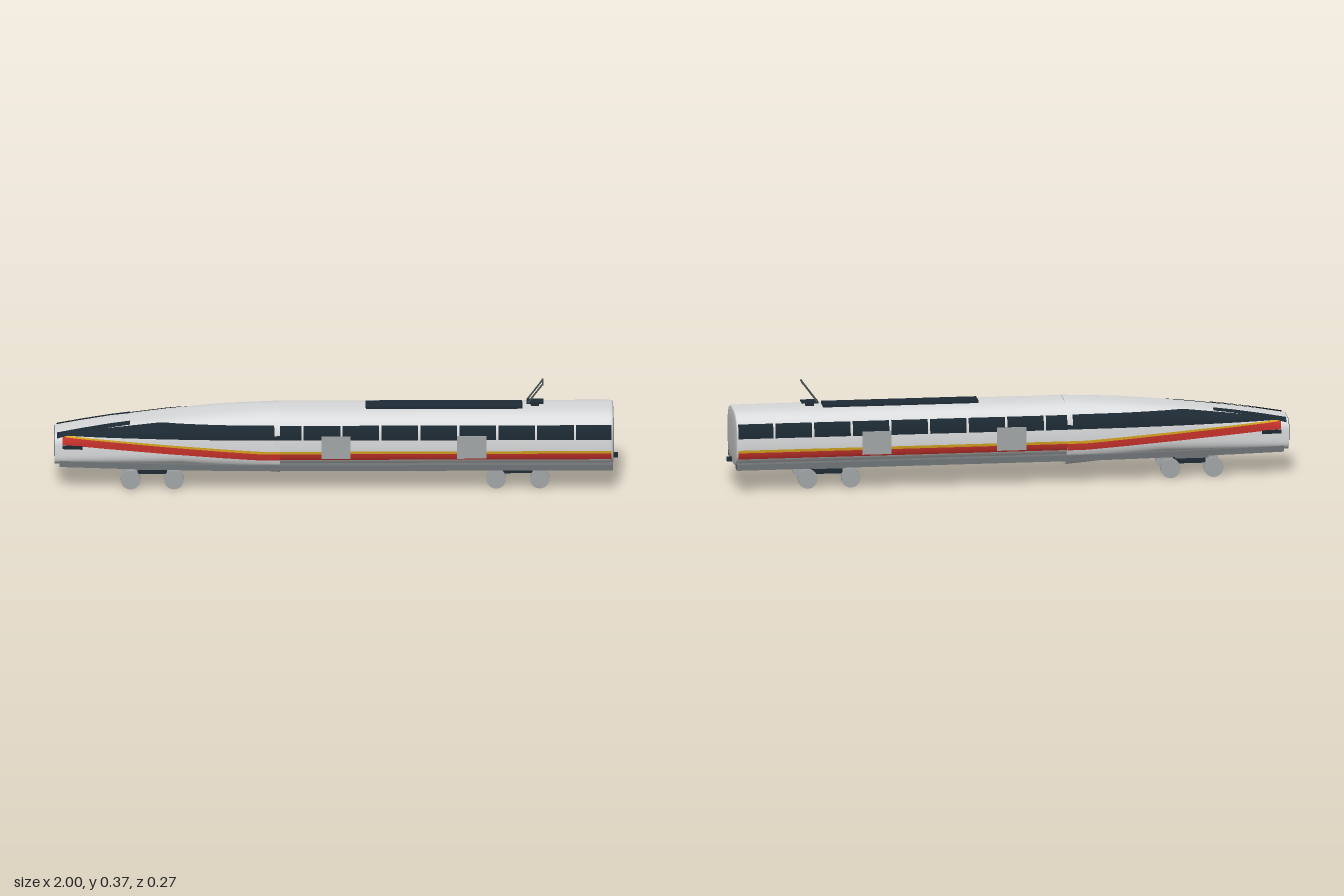
import * as THREE from 'three';

const mat = (name, color, side = THREE.FrontSide) => {
  const m = new THREE.MeshStandardMaterial({ color, side });
  m.name = name;
  return m;
};

// Linear interpolation through [x, value] pairs
function along(x, pairs) {
  if (x <= pairs[0][0]) return pairs[0][1];
  for (let i = 1; i < pairs.length; i++) {
    const [x0, v0] = pairs[i - 1], [x1, v1] = pairs[i];
    if (x <= x1) return v0 + (v1 - v0) * (x - x0) / (x1 - x0);
  }
  return pairs[pairs.length - 1][1];
}

// Superellipse cross-section at x: centre, half height, half width, exponent
const ROOF = [[-1, 0.2], [-0.9, 0.217], [-0.8, 0.232], [-0.6, 0.256], [-0.4, 0.276], [-0.2, 0.287]];
const WIDTH = [[-1, 0.078], [-0.8, 0.098], [-0.6, 0.115], [-0.4, 0.126], [-0.2, 0.13]];
const FLOOR = [[-1, 0.085], [-0.55, 0.085], [-0.2, 0.052]];
const POWER = [[-1, 4], [-0.2, 2.8]];
function noseSection(x) {
  const top = along(x, ROOF), low = along(x, FLOOR);
  return { c: (top + low) / 2, h: (top - low) / 2, w: along(x, WIDTH), n: along(x, POWER) };
}
const bodySection = () => ({ c: 0.184, h: 0.1, w: 0.13, n: 3 });
const section = (x) => (x < -0.2 ? noseSection(x) : bodySection());

const dome = (t, n) => Math.pow(Math.max(0, 1 - Math.pow(Math.min(1, Math.abs(t)), n)), 1 / n);
const sideZ = (x, y, e) => { const s = section(x); return (s.w + e) * dome((y - s.c) / (s.h + e), s.n); };
const roofY = (x, z, e) => { const s = section(x); return s.c + (s.h + e) * dome(z / (s.w + e), s.n); };

function ringPoint(s, j, count, k = 1) {
  const a = (j / count) * Math.PI * 2, c = Math.cos(a), d = Math.sin(a);
  const f = (v) => Math.sign(v) * Math.pow(Math.abs(v), 2 / s.n);
  return [s.c + s.h * k * f(d), s.w * k * f(c)];
}

// Closed loft through rings of { x, s: section, k: scale }
function loft(rings, sharpStart, sharpEnd) {
  const N = 64, pos = [], idx = [];
  const addRing = (r) => {
    for (let j = 0; j < N; j++) {
      const [y, z] = ringPoint(r.s, j, N, r.k);
      pos.push(r.x, y, z);
    }
  };
  rings.forEach(addRing);
  for (let i = 0; i < rings.length - 1; i++) {
    for (let j = 0; j < N; j++) {
      const a = i * N + j, b = i * N + (j + 1) % N;
      idx.push(a, a + N, b, b, a + N, b + N);
    }
  }
  const cap = (r, base, flip, sharp) => {
    if (sharp) { base = pos.length / 3; addRing(r); }
    const m = pos.length / 3;
    pos.push(r.x, r.s.c, 0);
    for (let j = 0; j < N; j++) {
      const a = base + j, b = base + (j + 1) % N;
      idx.push(m, ...(flip ? [b, a] : [a, b]));
    }
  };
  cap(rings[0], 0, false, sharpStart);
  cap(rings[rings.length - 1], (rings.length - 1) * N, true, sharpEnd);
  const g = new THREE.BufferGeometry();
  g.setAttribute('position', new THREE.Float32BufferAttribute(pos, 3));
  g.setIndex(idx);
  g.computeVertexNormals();
  return g;
}

// Open grid of points from point(u, v)
function sheet(point, nu, nv) {
  const g = new THREE.PlaneGeometry(1, 1, nu, nv), p = g.attributes.position;
  for (let i = 0; i < p.count; i++) p.setXYZ(i, ...point(p.getX(i) + 0.5, p.getY(i) + 0.5));
  g.computeVertexNormals();
  return g;
}

export function createModel() {
  const train = new THREE.Group();
  train.name = 'train';
  const shell = mat('shell light grey', 0xdadbdc);
  const navy = mat('dark navy', 0x1e2b35);
  const glass = mat('window navy', 0x1c2932, THREE.DoubleSide);
  const red = mat('stripe red', 0xc8322c, THREE.DoubleSide);
  const yellow = mat('stripe yellow', 0xd6a51f, THREE.DoubleSide);
  const grey = mat('skirt grey', 0x707578);
  const metal = mat('wheel grey', 0xa3a6a8);
  const steel = mat('arm grey', 0x484e52);

  const add = (name, geo, m, x = 0, y = 0, z = 0) => {
    const mesh = new THREE.Mesh(geo, m);
    mesh.name = name;
    mesh.position.set(x, y, z);
    train.add(mesh);
    return mesh;
  };
  const box = (name, m, x0, x1, y0, y1, z0, z1) => add(name,
    new THREE.BoxGeometry(x1 - x0, y1 - y0, z1 - z0), m, (x0 + x1) / 2, (y0 + y1) / 2, (z0 + z1) / 2);

  // Shell: tapered nose with belly, and straight carriage body
  const noseRings = Array.from({ length: 17 }, (_, i) => {
    const x = -0.998 + 0.798 * i / 16;
    return { x, s: noseSection(x) };
  });
  add('nose', loft(noseRings, true, true), shell);
  const bodyRings = [[-0.22, 1], [0.2, 1], [0.6, 1], [0.94, 1], [0.968, 1], [0.978, 0.985], [0.982, 0.95], [0.984, 0.6]]
    .map(([x, k]) => ({ x, s: bodySection(), k }));
  add('body', loft(bodyRings, true, false), shell);

  // Front windscreen plate on the nose face
  const face = new THREE.Shape();
  const rim = Array.from({ length: 65 }, (_, j) => ringPoint(noseSection(-1), j - 16, 64, 0.98)).filter(([y]) => y > 0.118);
  rim.forEach(([y, z], i) => (i ? face.lineTo(z, y) : face.moveTo(z, y)));
  const screen = new THREE.ExtrudeGeometry(face, { depth: 0.003, bevelEnabled: false });
  screen.rotateY(-Math.PI / 2);
  add('windscreen', screen, navy, -0.997);

  // Stripe heights: falling from the nose, then level
  const slope = (a, b) => (x) => along(x, [[-0.97, a], [-0.27, b]]);
  const redLow = slope(0.168, 0.123), redHigh = slope(0.195, 0.147), yellowHigh = slope(0.201, 0.157);
  const bandHigh = (x) => Math.max(0.2, Math.min(0.25, along(x, ROOF) - 0.004));

  for (const s of [1, -1]) {
    const side = s > 0 ? 'left' : 'right';
    // Thin paint strip following the shell side
    const strip = (name, m, x0, x1, low, high, nu = 40) => add(name, sheet((u, v) => {
      const x = x0 + (x1 - x0) * u, y = low(x) + (high(x) - low(x)) * v;
      return [x, y, s * sideZ(x, y, 0.002)];
    }, nu, 6), m);
    for (const [x0, x1] of [[-0.97, -0.2001], [-0.2, 0.975]]) {
      strip(side + 'RedStripe', red, x0, x1, redLow, redHigh);
      strip(side + 'YellowStripe', yellow, x0, x1, redHigh, yellowHigh);
    }
    strip(side + 'NoseLamp', glass, -0.97, -0.9, () => 0.152, () => 0.166, 4);

    // Window band: long sweep on the nose, then separate panes
    strip(side + 'NoseWindow', glass, -0.97, -0.2001, () => 0.199, bandHigh);
    strip(side + 'NoseWindowEnd', glass, -0.2, -0.124, () => 0.199, () => 0.25, 2);
    for (let i = 0; i < 8; i++) {
      const x = -0.116 + i * 0.138;
      strip(side + 'Window', glass, x, Math.min(x + 0.13, 0.975), () => 0.199, () => 0.25, 2);
    }

    // Dark strip along the nose roof
    add(side + 'RoofStrip', sheet((u, v) => {
      const x = -0.99 + 0.26 * u, inner = 0.05 - 0.01 * u, z = inner + (0.026 + 0.004 * u) * v;
      return [x, roofY(x, z, 0.004), s * z];
    }, 12, 6), glass);

    // Doors
    for (const x of [-0.001, 0.48]) box(side + 'Door', metal, x - 0.052, x + 0.052, 0.13, 0.214, s * 0.13 - 0.003, s * 0.13 + 0.003);

    // Side skirt following the plan outline
    const plan = new THREE.Shape();
    const xs = [-0.98, -0.8, -0.6, -0.4, -0.2, 0.98];
    xs.forEach((x, i) => plan[i ? 'lineTo' : 'moveTo'](x, s * along(x, WIDTH)));
    xs.reverse().forEach((x) => plan.lineTo(x, s * (along(x, WIDTH) - 0.045)));
    const skirt = new THREE.ExtrudeGeometry(plan, { depth: 0.021, bevelEnabled: false });
    skirt.rotateX(Math.PI / 2);
    add(side + 'Skirt', skirt, grey, 0, 0.105);
  }

  // Bogies: frame, motor box, axles and wheels
  for (const x of [-0.652, 0.644]) {
    box('bogieFrame', grey, x - 0.06, x + 0.06, 0.068, 0.088, -0.07, 0.07);
    box('bogieMotor', navy, x - 0.052, x + 0.052, 0.044, 0.068, -0.045, 0.045);
    for (const dx of [-0.077, 0.077]) {
      for (const s of [1, -1]) {
        const wheel = new THREE.CylinderGeometry(0.035, 0.035, 0.013, 24);
        wheel.rotateX(Math.PI / 2);
        add('wheel', wheel, metal, x + dx, 0.035, s * 0.076);
      }
    }
  }

  // Rear coupler and roof equipment
  box('coupler', navy, 0.975, 1, 0.09, 0.105, -0.008, 0.008);
  box('roofPanel', navy, 0.105, 0.66, 0.28, 0.291, -0.036, 0.036);
  box('pantographStem', navy, 0.69, 0.72, 0.28, 0.297, -0.008, 0.008);
  box('pantographBase', navy, 0.675, 0.735, 0.296, 0.301, -0.023, 0.023);

  // Pantograph arms and contact bar
  for (const s of [1, -1]) {
    const arm = new THREE.BoxGeometry(0.005, 0.088, 0.005);
    arm.rotateZ(-0.64);
    add('pantographArm', arm, steel, 0.706, 0.336, s * 0.023);
  }
  box('pantographBar', steel, 0.729, 0.735, 0.369, 0.372, -0.033, 0.033);
  return train;
}
